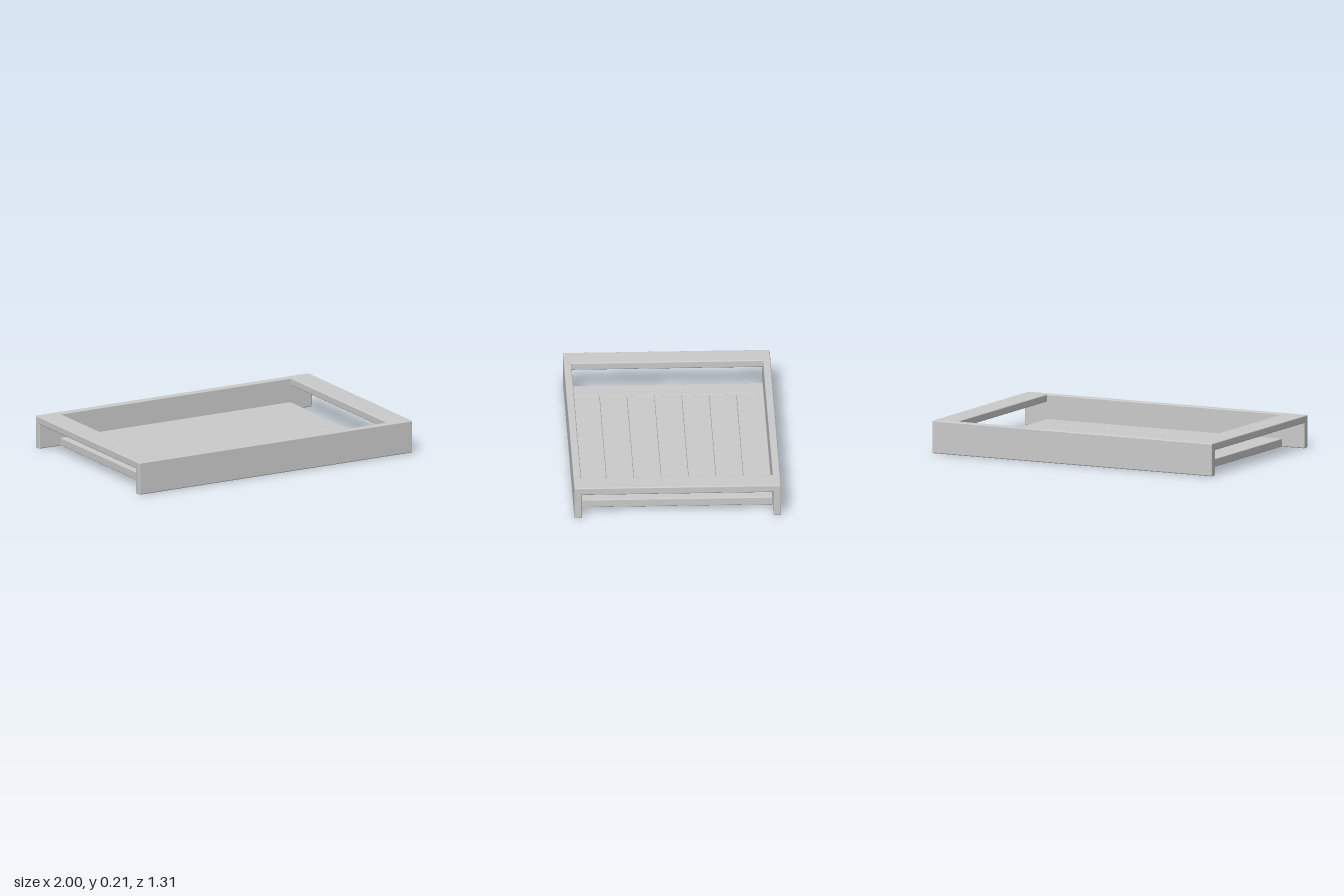
import * as THREE from 'three';
import { RoundedBoxGeometry } from 'three/addons/geometries/RoundedBoxGeometry.js';

const material = new THREE.MeshStandardMaterial({ color: 0xcccccc });

// Softly bevelled board spanning the given x, y and z ranges
function board(name, [x0, x1], [y0, y1], [z0, z1], bevel) {
  const geometry = new RoundedBoxGeometry(x1 - x0, y1 - y0, z1 - z0, 2, bevel);
  const mesh = new THREE.Mesh(geometry, material);
  mesh.position.set((x0 + x1) / 2, (y0 + y1) / 2, (z0 + z1) / 2);
  mesh.name = name;
  return mesh;
}

// Range mirrored to the negative side when side is -1
const mirrored = (a, b, side) => (side > 0 ? [a, b] : [-b, -a]);

export function createModel() {
  const tray = new THREE.Group();
  tray.name = 'servingTray';

  const height = 0.21, halfDepth = 0.655, wallInner = 0.607;
  const handleInner = 0.842, slatEnd = 0.685;
  const floor = [0.001, 0.053];

  // Long front and back walls
  for (const side of [1, -1]) {
    tray.add(board(side > 0 ? 'frontWall' : 'backWall',
      [-1, 1], [0, height], mirrored(wallInner, halfDepth, side), 0.007));
  }

  for (const side of [1, -1]) {
    const label = side > 0 ? 'left' : 'right';
    // Flat handle bar, let into the walls so that the top is continuous
    tray.add(board(label + 'Handle', mirrored(handleInner, 1, side),
      [0.162, height], [-0.635, 0.635], 0.007));
    // Cross board closing the floor at each end
    tray.add(board(label + 'FloorEnd', mirrored(slatEnd, handleInner, side),
      floor, [-wallInner, wallInner], 0.005));
  }

  // Floor slats
  const slats = new THREE.Group();
  slats.name = 'floorSlats';
  const count = 7, pitch = (2 * wallInner) / count;
  for (let i = 0; i < count; i++) {
    const z = -wallInner + i * pitch;
    slats.add(board('slat' + (i + 1), [-slatEnd, slatEnd], floor, [z, z + pitch], 0.005));
  }
  tray.add(slats);

  return tray;
}
